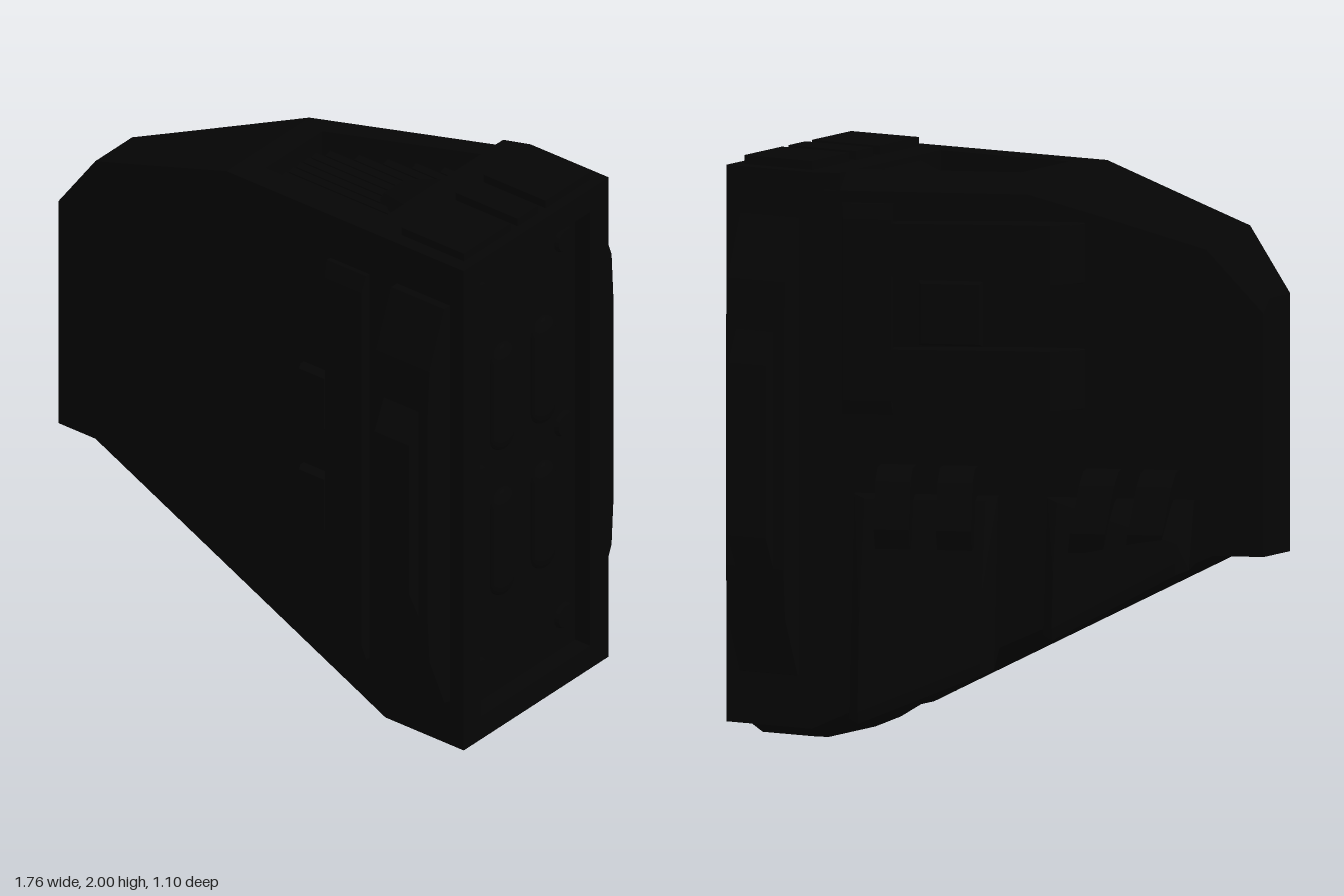
import * as THREE from 'three';
import { ConvexGeometry } from 'three/addons/geometries/ConvexGeometry.js';

const backZ = x => -0.17 - 0.433 * x;              // slanted rear wall
const bottomY = x => 0.07 + (0.54 - x) * 0.492;    // slanted underside

export function createModel() {
  const model = new THREE.Group();
  model.name = 'armouredWedge';
  const black = new THREE.MeshStandardMaterial({ color: 0x050505 });
  black.name = 'black';

  const add = (name, geometry, parent = model) => {
    const mesh = new THREE.Mesh(geometry, black);
    mesh.name = name;
    parent.add(mesh);
    return mesh;
  };
  const hull = (name, pts, parent) =>
    add(name, new ConvexGeometry(pts.map(p => new THREE.Vector3(...p))), parent);
  // raised plate on an xy face, bevelled by bx at the sides and by at the ends
  const plate = (name, x0, x1, y0, y1, z0, z1, parent, bx = 0.008, by = 0.008) => {
    const pts = [];
    for (const [z, i] of [[z0, 0], [z0 + (z1 - z0) * 0.6, 0], [z1, 1]])
      for (const x of [x0 + i * bx, x1 - i * bx]) for (const y of [y0 + i * by, y1 - i * by]) pts.push([x, y, z]);
    return hull(name, pts, parent);
  };
  // wedge section: front outline, rear rim (set in for the chamfer) and rear wall
  const wedge = (name, front, rim, wall) => hull(name, [
    ...front.map(([x, y]) => [x, y, 0.38]),
    ...rim.map(([x, y]) => [x, y, backZ(x) + 0.04]),
    ...wall.map(([x, y]) => [x, y, backZ(x)])]);

  // tapering main body and its flat-bottomed tip
  wedge('taperedBody', [[-0.72, 0.69], [0.5, 0.09], [0.5, 1.84], [-0.56, 1.84], [-0.72, 1.79]],
    [[-0.56, 1.84], [-0.72, 1.79]],
    [[-0.72, 0.69], [0.5, 0.09], [0.5, 1.84], [-0.37, 1.84], [-0.7, 1.735], [-0.72, 1.711]]);
  wedge('bodyTip', [[-0.88, 0.69], [-0.72, 0.69], [-0.72, 1.79], [-0.88, 1.57]],
    [[-0.72, 1.79], [-0.88, 1.57]], [[-0.88, 0.69], [-0.72, 0.69], [-0.72, 1.711], [-0.88, 1.52]]);

  // roof around the vent recess
  wedge('roofSide', [[-0.56, 1.84], [-0.15, 1.97], [-0.06, 1.97], [-0.06, 1.84]],
    [[-0.56, 1.84], [-0.15, 1.97], [-0.06, 1.97]],
    [[-0.37, 1.84], [-0.14, 1.91], [-0.06, 1.91], [-0.06, 1.84]]);
  hull('roofFront', [0.28, 0.38].flatMap(z => [-0.06, 0.5].flatMap(x => [[x, 1.84, z], [x, 1.97, z]])));
  hull('roofBack', [-0.06, 0.5].flatMap(x => [[1.84, 0], [1.91, 0], [1.97, 0.04], [1.97, 0.12], [1.84, 0.12]]
    .map(([y, inset]) => [x, y, backZ(x) + inset])));

  // thick end block
  const plan = [[0.45, 0.38], [0.54, 0.38], [0.815, 0.38], [0.815, -0.4], [0.54, -0.4], [0.45, backZ(0.45)]];
  hull('endBlock', plan.flatMap(([x, z]) => [[x, Math.max(0.07, bottomY(x)), z], [x, 1.97, z]]));

  // vent slats and the wedge behind them
  for (let z = 0.26; z > -0.22; z -= 0.04) {
    const x0 = Math.max(-0.06, (-0.05 - z) / 0.433 + 0.04);
    const slat = add('ventSlat', new THREE.BoxGeometry(0.45 - x0, 0.03, 0.026));
    slat.position.set((x0 + 0.45) / 2, 1.885, z);
    slat.rotation.x = 0.3;
  }
  hull('ventWedge', [[0.28, 1.85, -0.08], [0.28, 1.85, 0.14], [0.45, 1.85, -0.1], [0.45, 1.85, 0.18],
    [0.3, 1.92, -0.02], [0.3, 1.92, 0.09], [0.45, 1.95, -0.08], [0.45, 1.95, 0.15]]);

  // raised roof pads
  for (const [z0, z1] of [[0.08, 0.33], [-0.07, 0.04], [-0.35, -0.11]]) {
    const pad = add('roofPad', new THREE.BoxGeometry(0.27, 0.06, z1 - z0));
    pad.position.set(0.705, 1.97, (z0 + z1) / 2);
  }

  // skid below the end block
  hull('bottomSkid', [-1, 1].flatMap(s => [[0.54, 0.075, s * 0.32], [0.86, 0.075, s * 0.32],
    [0.61, 0.025, s * 0.28], [0.81, 0.025, s * 0.28], [0.63, 0.005, s * 0.15], [0.79, 0.005, s * 0.15]]));

  // frame round the end panel
  const frame = new THREE.Shape([[-0.38, 0.07], [0.4, 0.07], [0.4, 1.97], [-0.38, 1.97]].map(p => new THREE.Vector2(...p)));
  frame.holes.push(new THREE.Path([[-0.29, 0.16], [-0.29, 1.88], [0.3, 1.88], [0.3, 0.16]].map(p => new THREE.Vector2(...p))));
  const rim = add('endFrame', new THREE.ExtrudeGeometry(frame, { depth: 0.065, bevelEnabled: false }));
  rim.rotation.y = Math.PI / 2;
  rim.position.x = 0.815;

  // rounded ribs and bolts on the end panel
  for (const z of [0.1, -0.12]) for (const y of [0.745, 1.32]) {
    const rib = add('endRib', new THREE.CapsuleGeometry(0.06, 0.3, 6, 16));
    rib.scale.x = 0.55;
    rib.position.set(0.817, y, z);
  }
  for (const z of [0.225, -0.235]) for (const y of [0.29, 1.05, 1.78]) {
    const bolt = add('endBolt', new THREE.CylinderGeometry(0.042, 0.05, 0.02, 16));
    bolt.rotation.z = -Math.PI / 2;
    bolt.position.set(0.82, y, z);
  }

  // stepped armour on the front and back of the end block
  const outer = [[0.37, 0.24], [0.41, 0.25], [0.49, 0.45], [0.5, 0.62], [0.5, 1.42], [0.49, 1.6], [0.41, 1.81], [0.37, 1.81]];
  const inner = [[0.45, 0.6], [0.5, 0.62], [0.55, 0.73], [0.55, 1.32], [0.5, 1.43], [0.45, 1.44]];
  for (const s of [1, -1]) {
    hull('armourSlab', outer.flatMap(([z, y]) => [[0.59, y, s * z], [0.82, y, s * z]]));
    hull('armourRidge', inner.flatMap(([z, y]) => [[0.63, y, s * z], [0.78, y, s * z]]));
  }

  // front strip with two tabs
  plate('frontStrip', 0.3, 0.47, 0.28, 1.8, 0.37, 0.415, model, 0.005, 0.06);
  for (const y of [0.73, 1.13]) plate('frontTab', 0.185, 0.31, y, y + 0.215, 0.37, 0.415);

  // rear wall group: local z points out of the slanted wall
  const rear = new THREE.Group();
  rear.name = 'rearWall';
  rear.position.z = -0.17;
  rear.rotation.y = Math.PI + Math.atan(0.433);
  model.add(rear);
  const t = x => -x * 1.09;

  // clamp: strip, two swelling fingers and a small box between
  plate('clampStrip', t(0.44), t(0.28), 1.15, 1.87, -0.01, 0.035, rear, 0.005, 0.05);
  for (const y of [1.18, 1.61]) {
    const rows = [[0.29, 0.03, 0.01], [0.05, 0.055, 0.005], [-0.12, 0.073, 0], [-0.22, 0.073, 0], [-0.28, 0.05, 0], [-0.32, 0, 0]];
    hull('clampFinger', rows.flatMap(([x, n, i]) => [[t(x), y + i, -0.01], [t(x), y + 0.21 - i, -0.01],
      [t(x), y + i + 0.005, n], [t(x), y + 0.205 - i, n]]), rear);
  }
  plate('clampBox', t(0.2), t(0), 1.39, 1.61, -0.01, 0.03, rear);

  // flared guards along the lower edge, each with two blocks: ends as [x, flare, lowest y]
  const guards = [
    { ends: [[-0.05, 0.18, 0.29], [0.4, 0.21, 0.12]], blocks: [0.07, 0.265], lean: 0 },
    { ends: [[-0.665, 0.205, 0.65], [-0.205, 0.185, 0.415]], blocks: [-0.52, -0.34], lean: 0.04 },
  ];
  for (const { ends, blocks, lean } of guards) {
    hull('flaredGuard', ends.flatMap(([x, flare, low], i) => {
      const end = x + (i ? -0.035 : 0.035), mid = low + (0.88 - low) * 0.45;
      return [[t(x), 0.88, -0.01], [t(x), 0.88, 0.03], [t(x), bottomY(x), -0.01], [t(x), low + 0.01, flare - 0.06],
        [t(end), 0.87, 0.06], [t(end), mid, flare - 0.03], [t(end), low + 0.04, flare], [t(end), low, flare - 0.005]];
    }), rear);
    for (const c of blocks) {
      const side = [[-0.01, 0.98], [0.08, 0.98], [0.13, 0.94], [0.17, 0.78], [0.14, 0.71], [-0.01, 0.71]];
      hull('guardBlock', side.flatMap(([n, y]) => [-0.055, 0.055].map(w =>
        [t(c + w - lean * (y - 0.71) / 0.27), y, n])), rear);
    }
  }
  return model;
}
